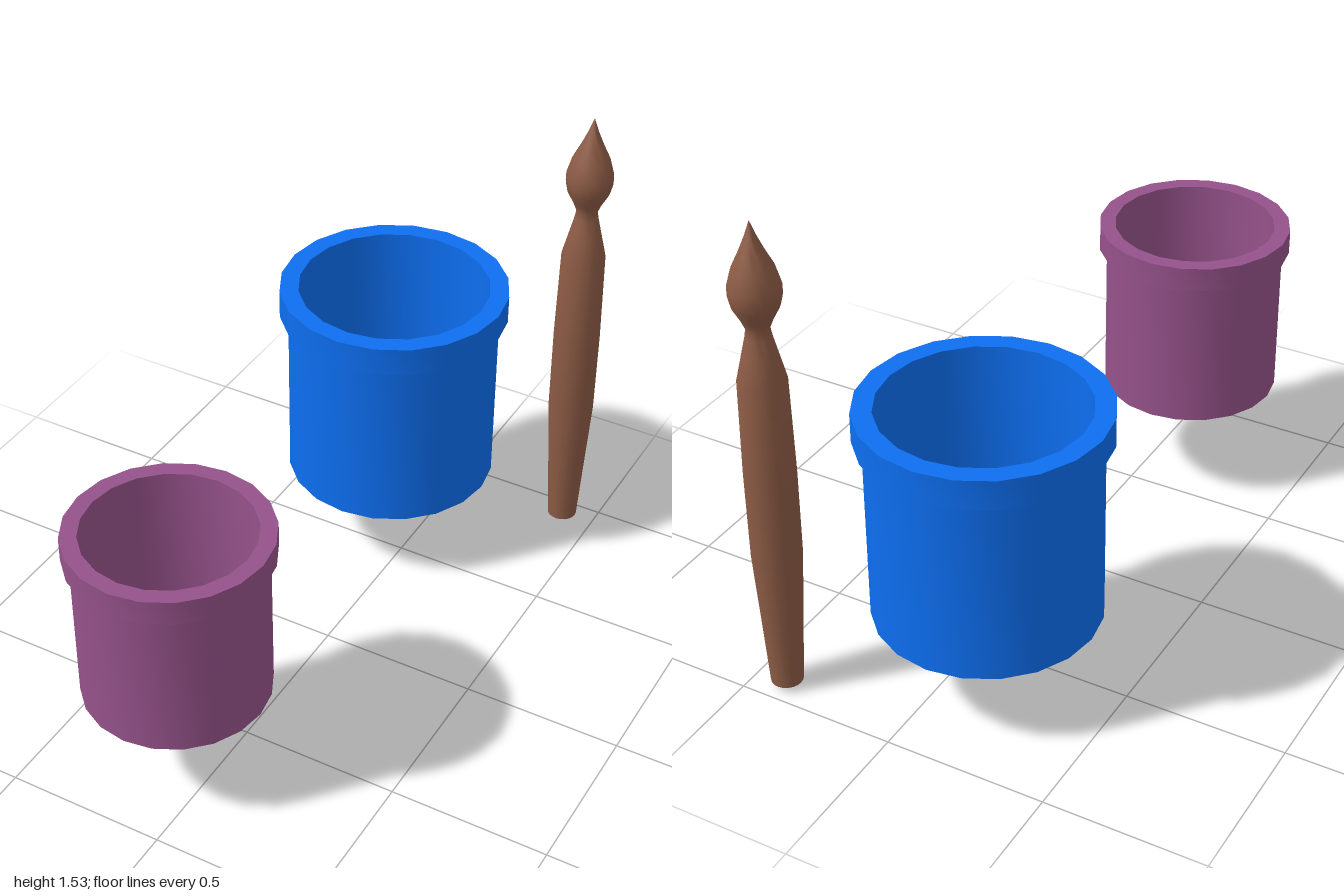
import * as THREE from 'three';
import { toCreasedNormals } from 'three/addons/utils/BufferGeometryUtils.js';

// Spin a profile of [radius, height] pairs around the y axis
function lathe(name, profile, sides, color, crease) {
  const points = profile.map(([r, y]) => new THREE.Vector2(r, y));
  const geometry = toCreasedNormals(new THREE.LatheGeometry(points, sides), crease);
  const mesh = new THREE.Mesh(geometry, new THREE.MeshStandardMaterial({ color }));
  mesh.name = name;
  return mesh;
}

// Open pot with a stepped rim and a hollow inside
function pot(name, { body, rim, inner, height, rimHeight, floor, color }) {
  return lathe(name, [
    [0, 0], [body, 0],
    [body, height - rimHeight], [rim, height - rimHeight],
    [rim, height], [inner, height],
    [inner, floor], [0, floor],
  ], 20, color, 0.5);
}

export function createModel() {
  const model = new THREE.Group();
  model.name = 'potsAndBrush';

  // Large pot at the back
  const largePot = pot('largePot', {
    body: 0.337, rim: 0.364, inner: 0.304, height: 0.678, rimHeight: 0.092, floor: 0.03, color: 0x0d6ef0,
  });
  largePot.position.set(-0.108, 0.272, -0.616);

  // Small pot at the front
  const smallPot = pot('smallPot', {
    body: 0.281, rim: 0.303, inner: 0.253, height: 0.565, rimHeight: 0.077, floor: 0.025, color: 0x95528a,
  });
  smallPot.position.set(-0.108, 0.327, 0.697);

  // Upright brush: tapered handle, narrow neck and pointed bristle bulb
  const brush = lathe('brush', [
    [0, 0], [0.03, 0.007], [0.048, 0.02],
    [0.06, 0.24], [0.073, 0.47], [0.074, 0.75], [0.069, 1.05],
    [0.05, 1.13], [0.037, 1.185], [0.033, 1.21], [0.045, 1.24],
    [0.066, 1.28], [0.073, 1.31], [0.073, 1.34],
    [0.059, 1.39], [0.035, 1.44], [0.016, 1.485], [0, 1.53],
  ], 20, 0x8c5b45, 0.7);
  brush.position.set(0.395, 0, -0.925);

  model.add(largePot, smallPot, brush);
  return model;
}
